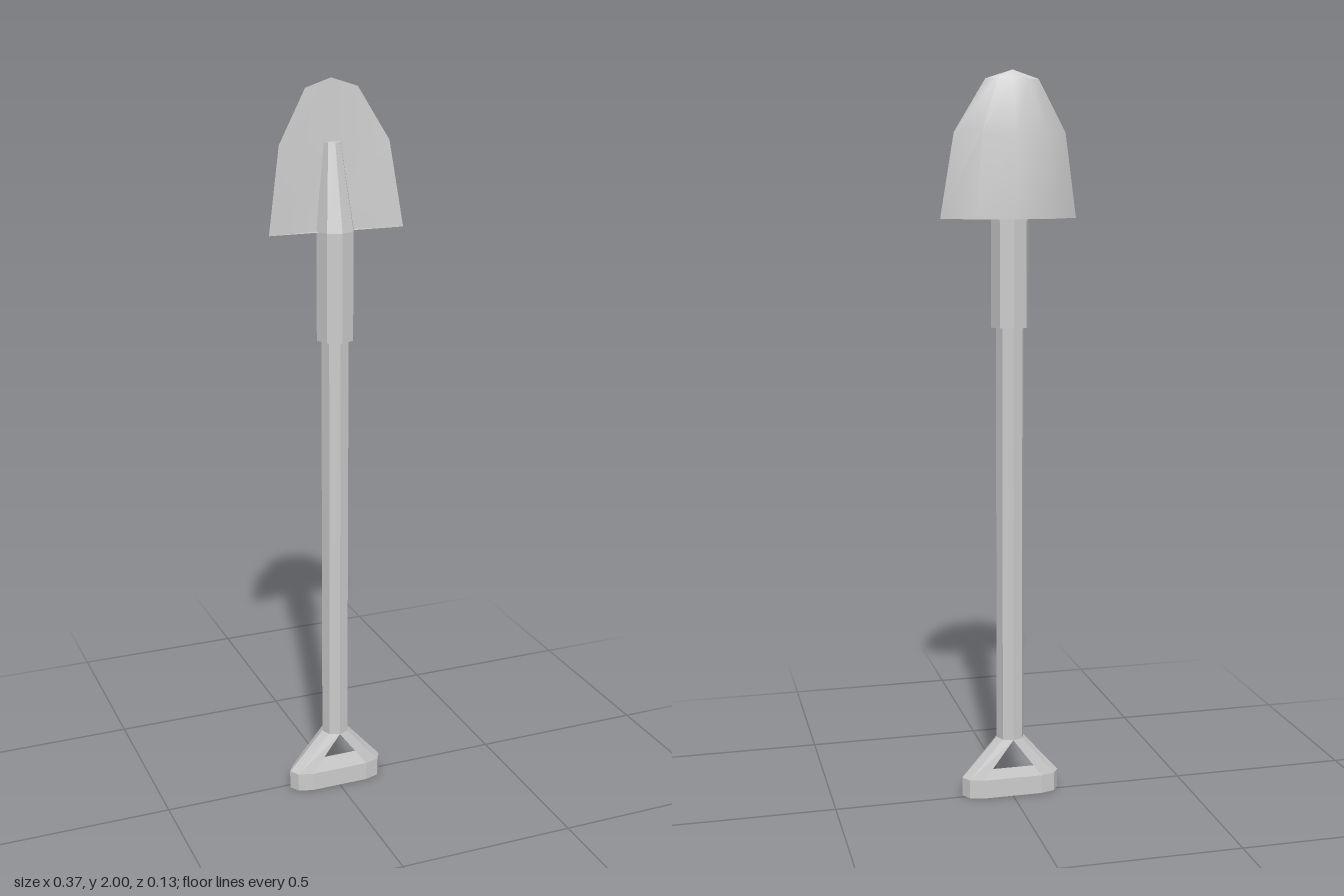
import * as THREE from 'three';
import { toCreasedNormals } from 'three/addons/utils/BufferGeometryUtils.js';

const AXIS_Z = 0.013; // depth of the shaft's centre line
const flat = new THREE.MeshStandardMaterial({ color: 0xcccccc, flatShading: true });
const smooth = new THREE.MeshStandardMaterial({ color: 0xcccccc });

// Skins closed rings of [x, y, z], counterclockwise from above, listed bottom to top.
function loft(rings) {
  const n = rings[0].length;
  const out = [];
  const tri = (...pts) => {
    const [a, b, c] = pts.map((p) => new THREE.Vector3(...p));
    const area = b.clone().sub(a).cross(c.clone().sub(a)).length();
    if (area > 1e-8) out.push(...pts.flat());
  };
  for (let r = 0; r < rings.length - 1; r++) {
    const lo = rings[r], hi = rings[r + 1];
    for (let i = 0; i < n; i++) {
      const j = (i + 1) % n;
      tri(lo[i], lo[j], hi[j]);
      tri(lo[i], hi[j], hi[i]);
    }
  }
  const bottom = rings[0], top = rings[rings.length - 1];
  for (let i = 1; i < n - 1; i++) {
    tri(bottom[0], bottom[i + 1], bottom[i]);
    tri(top[0], top[i], top[i + 1]);
  }
  const geometry = new THREE.BufferGeometry();
  geometry.setAttribute('position', new THREE.Float32BufferAttribute(out, 3));
  geometry.computeVertexNormals();
  return geometry;
}

// Octagonal ring with corners on the axes
function octagon(radius, y, z) {
  return Array.from({ length: 8 }, (_, i) => {
    const a = (i * Math.PI) / 4;
    return [radius * Math.cos(a), y, z - radius * Math.sin(a)];
  });
}

export function createModel() {
  const group = new THREE.Group();
  const add = (name, geometry, material = flat) => {
    const mesh = new THREE.Mesh(geometry, material);
    mesh.name = name;
    group.add(mesh);
  };

  // Octagonal shaft
  add('shaft', loft([octagon(0.039, 0.165, AXIS_Z), octagon(0.039, 1.34, AXIS_Z)]));

  // Socket, narrowing into a spine on the blade
  add('socket', loft([
    octagon(0.052, 1.325, AXIS_Z),
    octagon(0.052, 1.615, AXIS_Z),
    octagon(0.024, 1.84, -0.01),
  ]));

  // Blade sections: y, edge x, edge z, back shoulder x and z, back centre z, front centre z
  const sections = [
    [1.615, 0.187, 0.027, 0.103, -0.045, -0.064, 0.004],
    [1.84, 0.152, 0.011, 0.088, -0.039, -0.054, -0.01],
    [1.977, 0.072, -0.011, 0.042, -0.026, -0.029, -0.015],
    [2.0, 0, -0.016, 0, -0.016, -0.016, -0.016],
  ];
  const blade = loft(sections.map(([y, ex, ez, sx, sz, back, front]) => [
    [ex, y, ez], [sx, y, sz], [0, y, back], [-sx, y, sz], [-ex, y, ez], [0, y, front],
  ]));
  add('blade', toCreasedNormals(blade, 0.6), smooth);

  // Half outline of the grip, front to back: x and z offset from the centre line
  const half = [[0.083, 0.039], [0.123, 0.027], [0.139, 0], [0.123, -0.027], [0.083, -0.039]];
  const gripRing = (y) => [
    ...half.map(([x, z]) => [x, y, AXIS_Z + z]),
    ...half.map(([x, z]) => [-x, y, AXIS_Z - 0 + z]).reverse(),
  ];
  add('gripBar', loft([gripRing(0), gripRing(0.053)]));

  // Two arms, each running from one half of the shaft to one end of the grip
  for (const side of [1, -1]) {
    const low = half.map(([x, z]) => [side * x, 0.053, AXIS_Z + z]);
    const high = half.map((_, i) => {
      const a = (i * Math.PI) / 4;
      return [side * 0.039 * Math.sin(a), 0.165, AXIS_Z + 0.039 * Math.cos(a)];
    });
    if (side < 0) {
      low.reverse();
      high.reverse();
    }
    add(side > 0 ? 'leftGripArm' : 'rightGripArm', loft([low, high]));
  }

  return group;
}
